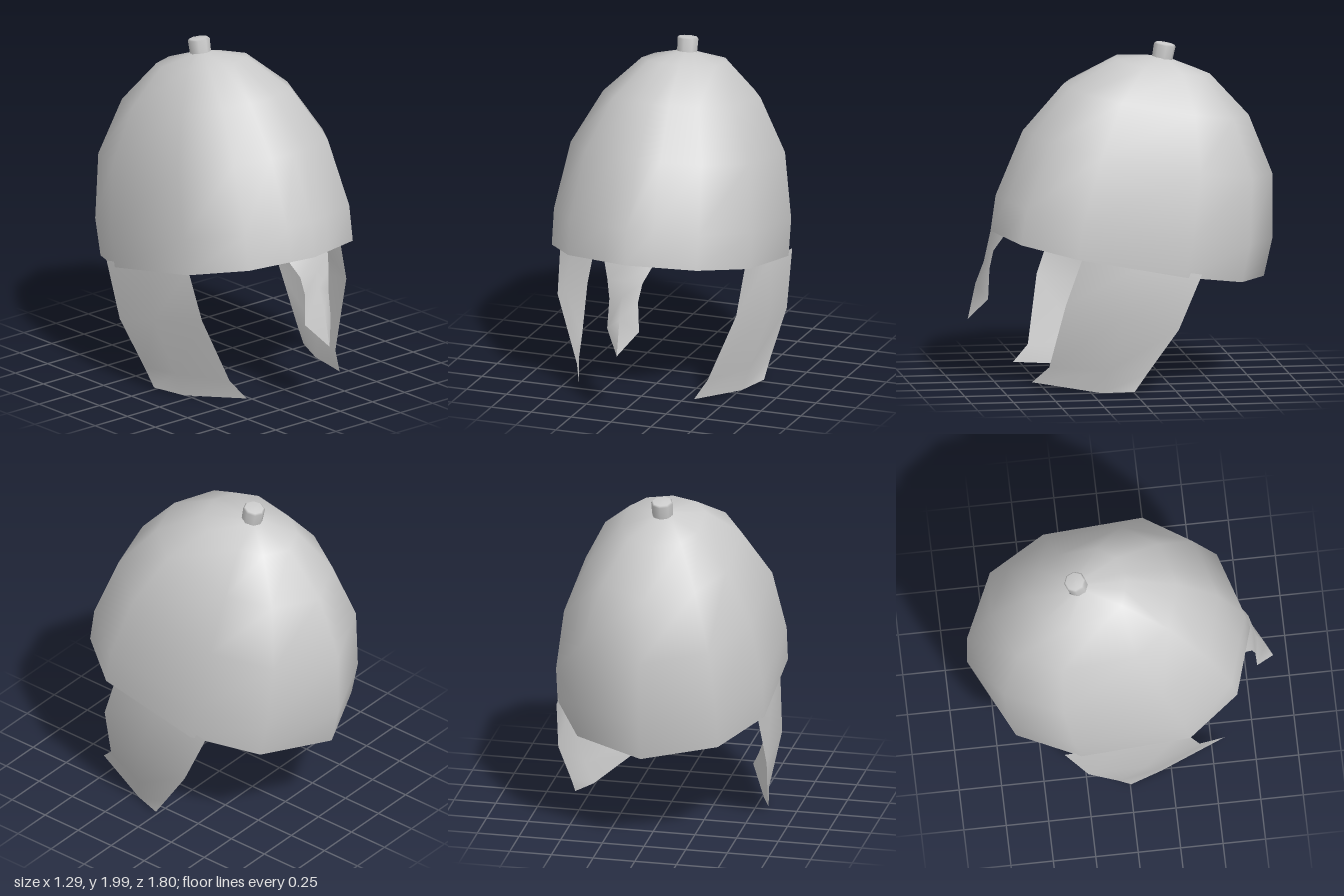
import * as THREE from 'three';

const material = new THREE.MeshStandardMaterial({ color: 0xcccccc, side: THREE.DoubleSide });

// Smooth sheet through rows (bottom to top) of [x, y, z] points; closed joins each row into a ring
function sheet(name, rows, closed = false) {
  const n = rows[0].length, index = [];
  for (let i = 0; i < rows.length - 1; i++) {
    for (let j = 0; j < (closed ? n : n - 1); j++) {
      const k = (j + 1) % n;
      const a = i * n + j, b = i * n + k, c = a + n, d = b + n;
      index.push(a, b, d, a, d, c);
    }
  }
  const geometry = new THREE.BufferGeometry();
  geometry.setAttribute('position', new THREE.Float32BufferAttribute(rows.flat(2), 3));
  geometry.setIndex(index);
  geometry.computeVertexNormals();
  const mesh = new THREE.Mesh(geometry, material);
  mesh.name = name;
  return mesh;
}

// Half outline of the bowl, front to back, as fractions of half width and half length
const half = [[0, 1], [0.24, 0.945], [0.65, 0.85], [1, 0.48], [1, -0.31], [0.68, -0.76], [0, -1]];
const outline = [...half, ...half.slice(1, -1).reverse().map(([x, z]) => [-x, z])];

// Tilted rings: [front z, front y, back z, back y, half width]
const rings = [
  [0.77, 0.9, -0.85, 0.59, 0.62],
  [0.74, 1.11, -0.9, 0.81, 0.62],
  [0.58, 1.49, -0.9, 1.2, 0.56],
  [0.34, 1.76, -0.76, 1.55, 0.41],
  [0.04, 1.91, -0.53, 1.8, 0.23],
  [-0.2, 1.915, -0.31, 1.89, 0.055],
];

function createBowl() {
  const rows = rings.map(([zf, yf, zb, yb, w]) => outline.map(([x, t]) => {
    const f = (t + 1) / 2;
    return [x * w, yb + (yf - yb) * f, zb + (zf - zb) * f];
  }));
  return sheet('bowl', rows, true);
}

// Nose guard rows: [edge y, half width, edge z, centre y, centre z]
function createNoseGuard() {
  const rows = [
    [0.38, 0, 0.905, 0.38, 0.905],
    [0.51, 0.1, 0.8, 0.59, 0.86],
    [0.69, 0.09, 0.79, 0.72, 0.81],
    [0.8, 0.11, 0.77, 0.81, 0.79],
    [0.89, 0.15, 0.715, 0.9, 0.77],
  ].map(([y, w, z, yc, zc]) => [[-w, y, z], [0, yc, zc], [w, y, z]]);
  return sheet('noseGuard', rows);
}

// Cheek guard rows run from front edge to back edge
const cheek = [
  [[0.36, 0.055, 0.58], [0.51, 0.005, 0.19], [0.58, 0.02, 0.005]],
  [[0.41, 0.15, 0.485], [0.55, 0.14, 0.16], [0.59, 0.13, -0.07]],
  [[0.56, 0.54, 0.41], [0.645, 0.47, 0.08], [0.625, 0.39, -0.25]],
  [[0.58, 0.83, 0.31], [0.61, 0.77, -0.03], [0.605, 0.71, -0.39]],
];

export function createModel() {
  const model = new THREE.Group();
  model.name = 'helmet';
  model.add(createBowl(), createNoseGuard());

  // Cheek guards, mirrored
  model.add(sheet('leftCheekGuard', cheek));
  model.add(sheet('rightCheekGuard',
    cheek.map(row => row.map(([x, y, z]) => [-x, y, z]).reverse())));

  // Short knob at the crown, leaning back with the bowl
  const profile = [[0.062, 0], [0.065, 0.095], [0.055, 0.105], [0, 0.107]]
    .map(([r, y]) => new THREE.Vector2(r, y));
  const knob = new THREE.Mesh(new THREE.LatheGeometry(profile, 8), material);
  knob.name = 'knob';
  knob.position.set(0, 1.885, -0.245);
  knob.rotation.x = -0.19;
  model.add(knob);
  return model;
}
